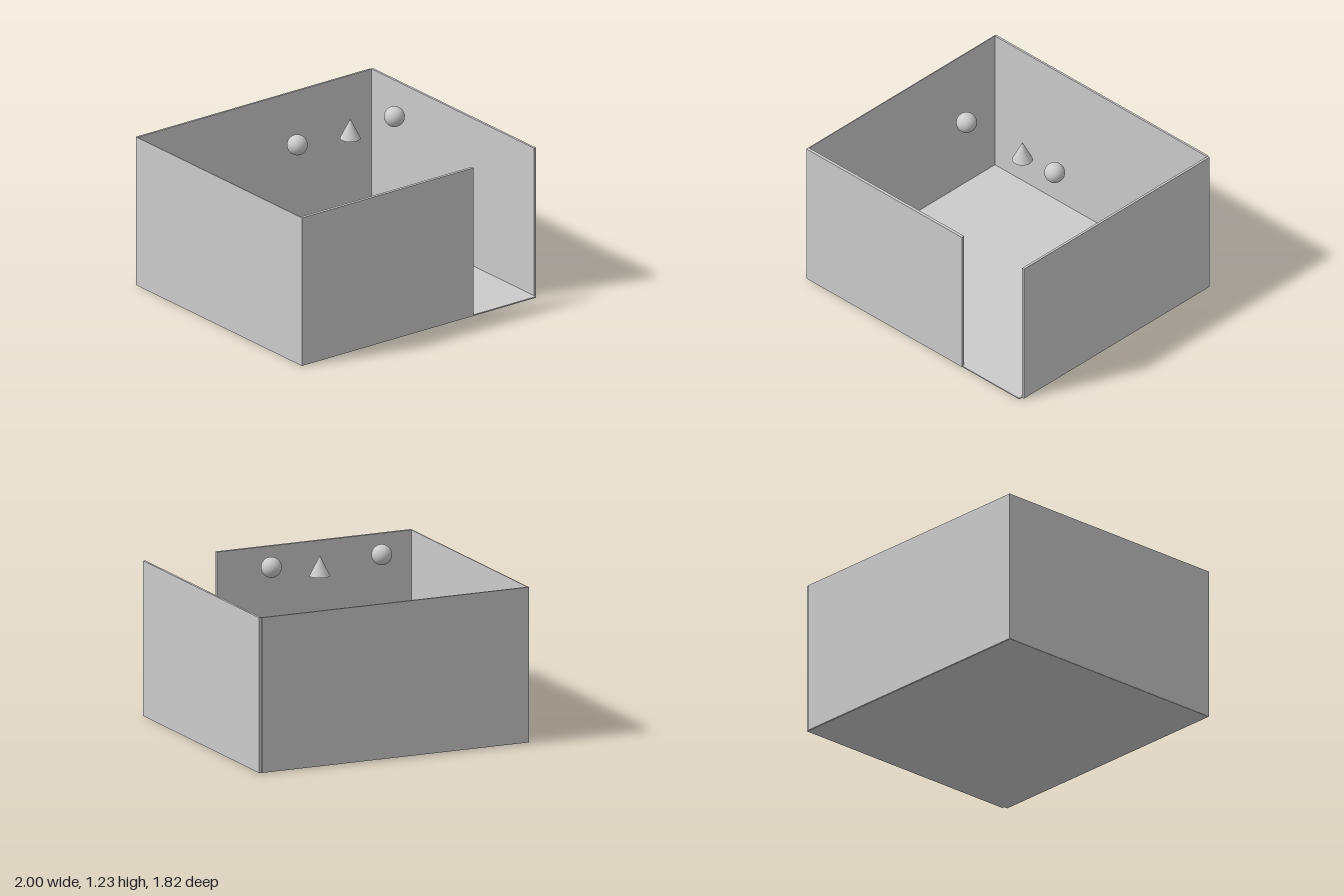
import * as THREE from 'three';

export function createModel() {
  const group = new THREE.Group();
  const material = new THREE.MeshStandardMaterial({ color: 0xcccccc });

  const add = (name, geometry, x, y, z) => {
    const mesh = new THREE.Mesh(geometry, material);
    mesh.name = name;
    mesh.position.set(x, y, z);
    group.add(mesh);
    return mesh;
  };

  // Box given by its limits on each axis
  const slab = (name, [x0, x1], [y0, y1], [z0, z1]) =>
    add(name, new THREE.BoxGeometry(x1 - x0, y1 - y0, z1 - z0),
      (x0 + x1) / 2, (y0 + y1) / 2, (z0 + z1) / 2);

  // Room shell: the front wall stops short to leave a doorway
  const H = 1.07;
  slab('floor', [-0.998, 0.98], [0, 0.008], [-0.905, 0.902]);
  slab('backWall', [-0.998, 0.98], [0.002, H], [-0.912, -0.897]);
  slab('rightWall', [-1, -0.993], [0.002, H], [-0.908, 0.9]);
  slab('leftWall', [0.983, 1], [0.002, H], [-0.905, 0.878]);
  slab('frontWall', [-0.999, 0.45], [0.002, H], [0.884, 0.906]);

  // Floating lamps: two balls and a cone
  for (const [name, x] of [['rightBall', -0.36], ['leftBall', 0.46]]) {
    add(name, new THREE.SphereGeometry(0.07, 32, 24), x, 1.155, 0.027);
  }
  add('cone', new THREE.ConeGeometry(0.07, 0.14, 32), 0.12, 1.14, -0.015);

  return group;
}
